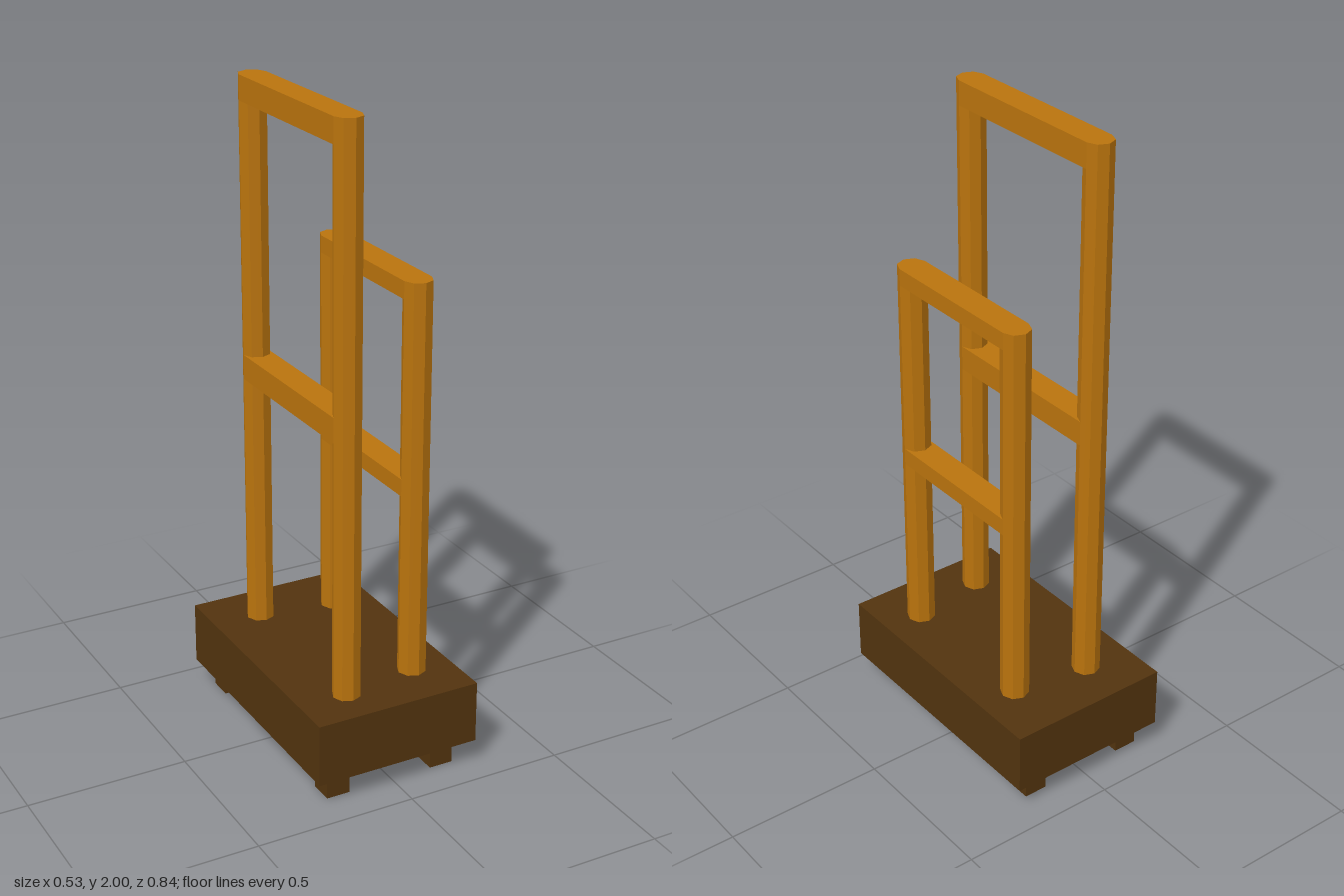
import * as THREE from 'three';

const darkWood = new THREE.MeshStandardMaterial({ color: 0x52330e });
darkWood.name = 'darkWood';
const orangeWood = new THREE.MeshStandardMaterial({ color: 0xb9730d });
orangeWood.name = 'orangeWood';

function add(parent, name, geometry, material, x, y, z) {
  const mesh = new THREE.Mesh(geometry, material);
  mesh.name = name;
  mesh.position.set(x, y, z);
  parent.add(mesh);
}

// Two octagonal posts joined by a top rail and a middle rail.
function makeFrame({ name, x, radius, zBack, zFront, bottom, top, topRail, midRail }) {
  const frame = new THREE.Group();
  frame.name = name;
  const height = top - bottom;
  const post = new THREE.CylinderGeometry(radius, radius, height, 8).toNonIndexed();
  post.computeVertexNormals(); // flat facets
  add(frame, 'backPost', post, orangeWood, x, bottom + height / 2, zBack);
  add(frame, 'frontPost', post, orangeWood, x, bottom + height / 2, zFront);
  for (const [railName, low, high] of [['topRail', ...topRail], ['middleRail', ...midRail]]) {
    const rail = new THREE.BoxGeometry(radius * 2, high - low, zFront - zBack);
    add(frame, railName, rail, orangeWood, x, (low + high) / 2, (zFront + zBack) / 2);
  }
  return frame;
}

export function createModel() {
  const model = new THREE.Group();
  model.name = 'doubleRailStand';

  // Base block
  add(model, 'base', new THREE.BoxGeometry(0.528, 0.195, 0.844), darkWood, 0, 0.1775, 0);

  // Four square feet
  const foot = new THREE.BoxGeometry(0.075, 0.08, 0.075);
  for (const x of [-0.18, 0.17])
    for (const z of [-0.343, 0.343]) add(model, 'foot', foot, darkWood, x, 0.04, z);

  // Tall and short frames
  model.add(makeFrame({
    name: 'tallFrame', x: -0.107, radius: 0.043, zBack: -0.269, zFront: 0.294,
    bottom: 0.27, top: 2, topRail: [1.925, 2], midRail: [1.08, 1.157],
  }));
  model.add(makeFrame({
    name: 'shortFrame', x: 0.136, radius: 0.044, zBack: -0.23, zFront: 0.256,
    bottom: 0.27, top: 1.503, topRail: [1.45, 1.503], midRail: [0.852, 0.905],
  }));
  return model;
}
